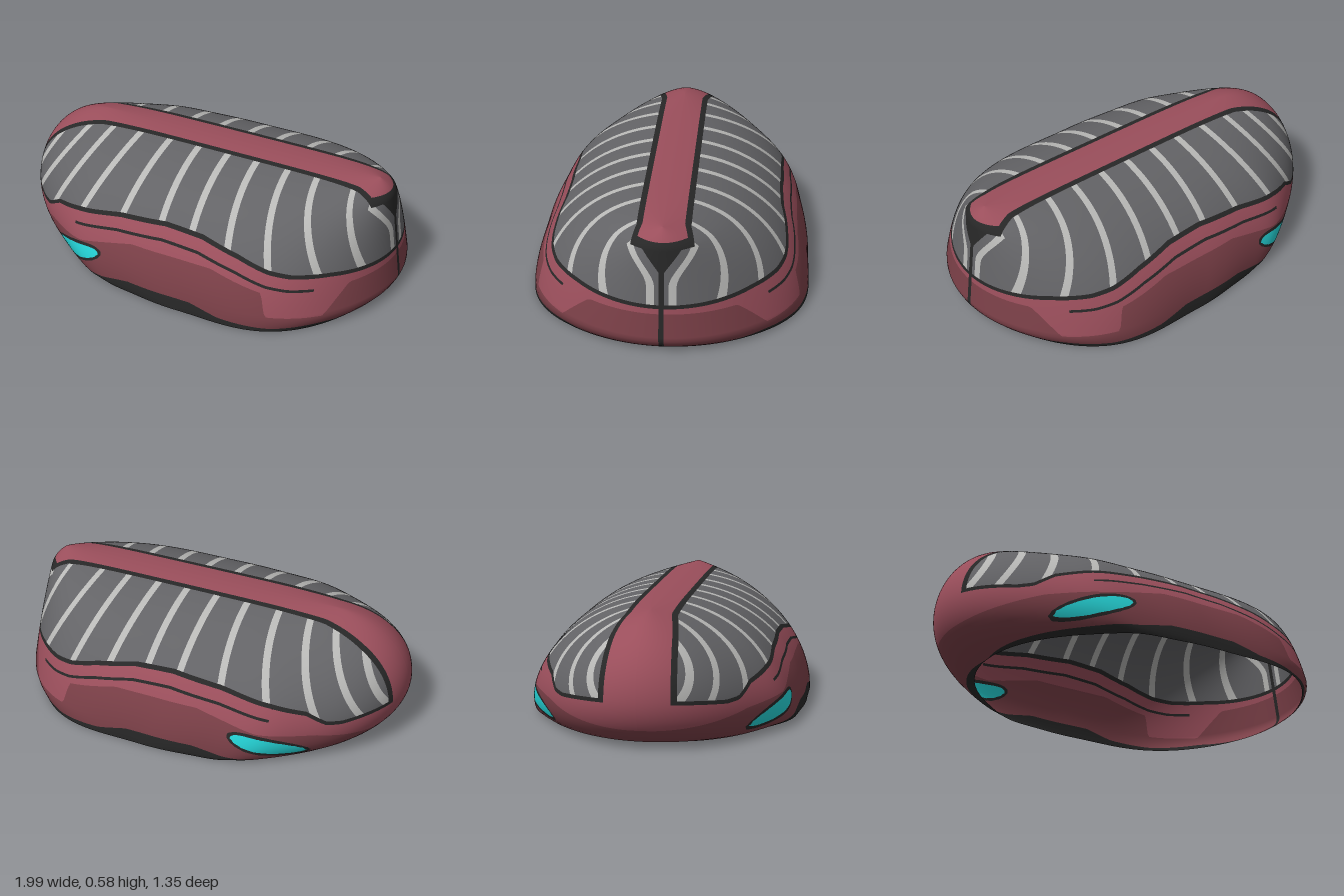
import * as THREE from 'three';

const { clamp, smoothstep } = THREE.MathUtils;
const HEIGHT = 0.585, HALF_WIDTH = 0.675;

// Piecewise-linear curve through [x, y] points
const curve = (...pts) => (x) => {
  if (x <= pts[0][0]) return pts[0][1];
  for (let i = 1; i < pts.length; i++) {
    const [ax, ay] = pts[i - 1], [bx, by] = pts[i];
    if (x <= bx) return ay + ((by - ay) * (x - ax)) / (bx - ax);
  }
  return pts[pts.length - 1][1];
};

// Nose and tail profiles on the centre plane
const noseX = (y) => {
  const t = y > 0.24 ? (y - 0.24) / 0.345 : (0.24 - y) / 0.24;
  const bulge = Math.sqrt(Math.max(0, 1 - t * t));
  return y > 0.24 ? -0.6 - 0.4 * bulge : -0.75 - 0.25 * bulge;
};
const tailX = (y) => 1.005 - 0.135 * y
  - 0.07 * Math.max(0, 1 - y / 0.08) ** 2
  - 0.06 * Math.max(0, (y - 0.5) / 0.085) ** 2;

// Shell surface (+z half): a runs nose to tail, b runs rim to roof
function shellPoint(a, b) {
  const y = HEIGHT * Math.sin(b), s = (1 - Math.cos(a)) / 2;
  const plan = Math.sin(a) * (1 + 0.17 * smoothstep(s, 0.52, 0.9)
    + 0.045 * Math.exp(-(((s - 0.26) / 0.08) ** 2)));
  const x0 = noseX(y), x1 = tailX(y);
  return new THREE.Vector3(x0 + (x1 - x0) * s, y, HALF_WIDTH * Math.cos(b) * plan);
}
function shellNormal(a, b) {
  const e = 0.004;
  a = clamp(a, 0.02, Math.PI - 0.02);
  b = clamp(b, 0.01, Math.PI / 2 - 0.01);
  const ta = shellPoint(a + e, b).sub(shellPoint(a - e, b));
  const tb = shellPoint(a, b + e).sub(shellPoint(a, b - e));
  return ta.cross(tb).normalize();
}
const vertex = (a, b) => ({ a, b, p: shellPoint(a, b) });

// Split a convex polygon along fn = 0 into [inside, outside]
function split(poly, fn) {
  const inside = [], outside = [];
  const d = poly.map((v) => fn(v.p.x, v.p.y, v.p.z));
  if (d.every((v) => v <= 0)) return [poly, []];
  if (d.every((v) => v >= 0)) return [[], poly];
  poly.forEach((v, i) => {
    const j = (i + 1) % poly.length, w = poly[j];
    if (d[i] <= 0) inside.push(v);
    if (d[i] >= 0) outside.push(v);
    if (d[i] * d[j] < 0) {
      const t = d[i] / (d[i] - d[j]);
      const cut = vertex(v.a + (w.a - v.a) * t, v.b + (w.b - v.b) * t);
      inside.push(cut);
      outside.push(cut);
    }
  });
  return [inside, outside];
}

// Take the part of the polygons where every function is negative
function carve(polys, fns) {
  const taken = [], rest = [];
  for (let poly of polys) {
    for (const fn of fns) {
      const [inside, outside] = split(poly, fn);
      if (outside.length > 2) rest.push(outside);
      poly = inside;
      if (poly.length < 3) break;
    }
    if (poly.length > 2) taken.push(poly);
  }
  return [taken, rest];
}

// Polygons to a mirrored, smooth-shaded geometry
function toGeometry(polys) {
  const pos = [], nor = [];
  for (const poly of polys) {
    const ns = poly.map((v) => shellNormal(v.a, v.b));
    for (const m of [1, -1]) {
      for (let i = 1; i < poly.length - 1; i++) {
        for (const k of m > 0 ? [0, i, i + 1] : [0, i + 1, i]) {
          const { p } = poly[k], n = ns[k];
          pos.push(p.x, p.y, p.z * m);
          nor.push(n.x, n.y, n.z * m);
        }
      }
    }
  }
  const g = new THREE.BufferGeometry();
  g.setAttribute('position', new THREE.Float32BufferAttribute(pos, 3));
  g.setAttribute('normal', new THREE.Float32BufferAttribute(nor, 3));
  return g;
}

export function createModel() {
  const mat = (name, color) => {
    const m = new THREE.MeshStandardMaterial({ color, side: THREE.DoubleSide });
    m.name = name;
    return m;
  };
  const red = mat('red', 0x9a4e5b), darkRed = mat('dark red', 0x7a3f47);
  const grey = mat('grey', 0x636366), pale = mat('pale grey', 0xb8b8b6);
  const black = mat('black', 0x272727), cyan = mat('cyan', 0x25d5d8);

  // Boundary curves along the side
  const sill = curve([-1, 0.25], [-0.9, 0.235], [-0.8, 0.22], [-0.74, 0.225], [-0.65, 0.28], [-0.5, 0.315],
    [-0.25, 0.355], [0, 0.375], [0.2, 0.367], [0.4, 0.33], [0.55, 0.288], [0.65, 0.272], [0.8, 0.265], [1, 0.24]);
  const panelTop = curve([-0.95, 0.1], [-0.7, 0.16], [-0.45, 0.18], [-0.15, 0.25], [0.28, 0.25],
    [0.54, 0.19], [0.57, 0.08], [0.8, 0.07], [0.87, 0.2], [1, 0.2]);
  const rockerTop = curve([-0.75, 0], [-0.55, 0.015], [-0.3, 0.035], [-0.15, 0.065], [0.2, 0.065],
    [0.35, 0.03], [0.6, 0.015], [0.8, 0.025], [0.93, 0]);
  const spineWidth = curve([-0.97, 0.15], [-0.8, 0.13], [-0.6, 0.095], [0.8, 0.095], [0.9, 0.12]);

  // Regions as functions that are negative inside
  const lamp = (grow) => (x, y) => ((x + 0.495) / (0.165 + grow)) ** 2
    + ((y - 0.11 - 0.25 * (x + 0.49)) / (0.04 + grow)) ** 2 - 1;
  const aboveSill = (x, y) => sill(x) - y;
  const spine = (grow) => (x, y, z) => z - spineWidth(x) - grow;
  const spineEnd = (tail) => (x, y) => (x < 0 ? 0.2 : tail) - y;
  const band = (center, w) => [
    (x, y, z) => center(x, y, z) - w,
    (x, y, z) => -center(x, y, z) - w,
  ];

  // Painted parts, first match wins
  const parts = [
    ['lamps', cyan, [lamp(0)]],
    ['lampSurrounds', black, [lamp(0.016)]],
    ['rockerTrim', black, [(x, y) => y - rockerTop(x)]],
    ['roofSpine', red, [spineEnd(0.535), spine(0)]],
    ['spineTrim', black, [spineEnd(0.5), aboveSill, spine(0.028)]],
    ['tailWedge', black, [(x) => 0.85 - x, (x, y, z) => z - 0.012 - Math.max(0, (y - 0.4) * 0.75)]],
  ];
  // Pale ribs across the canopy: [x at sill, x at roof, half width]
  const ribs = [[-0.95, -0.76, 0.014], [-0.85, -0.64, 0.015], [-0.69, -0.52, 0.016], [-0.5, -0.365, 0.017],
    [-0.26, -0.2, 0.017], [-0.02, -0.04, 0.017], [0.15, 0.12, 0.017], [0.36, 0.275, 0.017],
    [0.56, 0.44, 0.016], [0.76, 0.59, 0.015], [0.9, 0.77, 0.012]];
  for (const [xb, xt, w] of ribs) {
    parts.push(['canopyRib', pale, [aboveSill,
      ...band((x, y) => x - xb - ((xt - xb) * (y - 0.25)) / 0.33, w)]]);
  }
  parts.push(
    ['tailRib', pale, [aboveSill, (x) => 0.87 - x,
      ...band((x, y, z) => z - 0.05 - 0.1 * smoothstep(y, 0.33, 0.53), 0.018)]],
    ['canopy', grey, [aboveSill]],
    ['sillTrim', black, [(x, y) => sill(x) - 0.018 - y]],
    ['panelLine', black, [(x) => -0.5 - x, (x) => x - 0.75,
      ...band((x, y) => y - sill(x) + 0.07, 0.006)]],
    ['sidePanels', darkRed, [(x, y) => y - panelTop(x)]],
    ['bodyShell', red, []],
  );

  // Base grid of the half shell
  const NA = 130, NB = 44;
  const grid = [];
  for (let i = 0; i <= NA; i++) {
    grid.push([]);
    for (let j = 0; j <= NB; j++) grid[i].push(vertex((Math.PI * i) / NA, (Math.PI * j) / 2 / NB));
  }
  let polys = [];
  for (let i = 0; i < NA; i++) {
    for (let j = 0; j < NB; j++) {
      const a = grid[i][j], b = grid[i + 1][j], c = grid[i + 1][j + 1], d = grid[i][j + 1];
      polys.push([a, b, c], [a, c, d]);
    }
  }

  const group = new THREE.Group();
  group.name = 'domedShell';
  for (const [name, material, fns] of parts) {
    const [taken, rest] = carve(polys, fns);
    polys = rest;
    if (!taken.length) continue;
    const mesh = new THREE.Mesh(toGeometry(taken), material);
    mesh.name = name;
    group.add(mesh);
  }
  return group;
}
